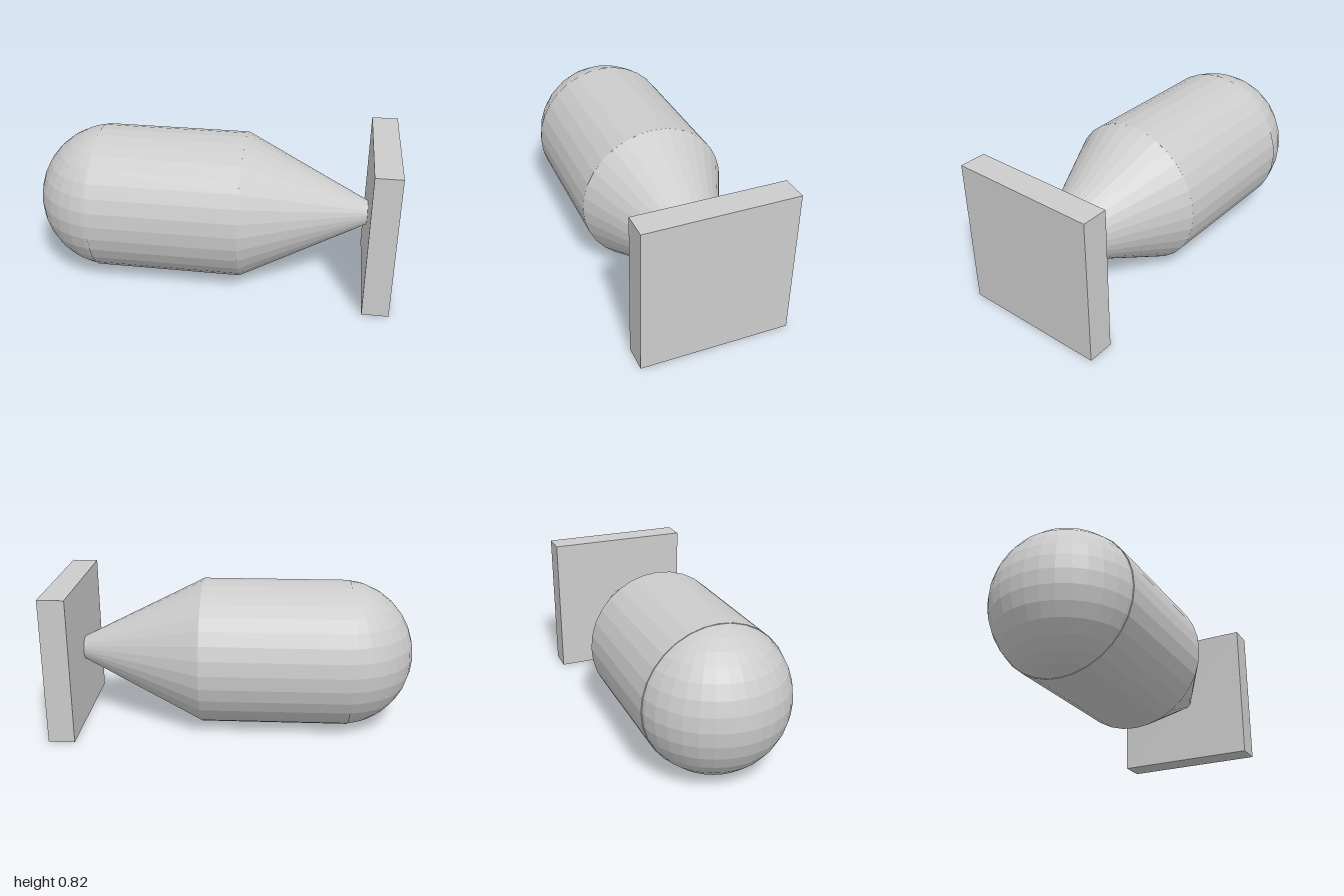
import * as THREE from 'three';

const R = 0.408;      // radius shared by nose, body and tail
const SIDES = 32;

export function createModel() {
  const model = new THREE.Group();
  const material = new THREE.MeshStandardMaterial({ color: 0xcccccc, flatShading: true });

  const add = (name, geometry, x) => {
    const mesh = new THREE.Mesh(geometry, material);
    mesh.name = name;
    mesh.position.set(x, R, 0);
    model.add(mesh);
  };

  // Rounded nose, its inner half hidden in the body
  add('nose', new THREE.SphereGeometry(R, SIDES, 16), -1 + R);

  // Faceted cylinder along x
  add('body', new THREE.CylinderGeometry(R, R, 0.815, SIDES).rotateZ(-Math.PI / 2), -0.234);

  // Cone narrowing to a point inside the tail plate
  add('tailCone', new THREE.ConeGeometry(R, 2 * R, SIDES).rotateZ(-Math.PI / 2), 0.173 + R);

  // Square plate closing the tail
  add('tailPlate', new THREE.BoxGeometry(0.144, 0.812, 0.812), 0.928);

  return model;
}
